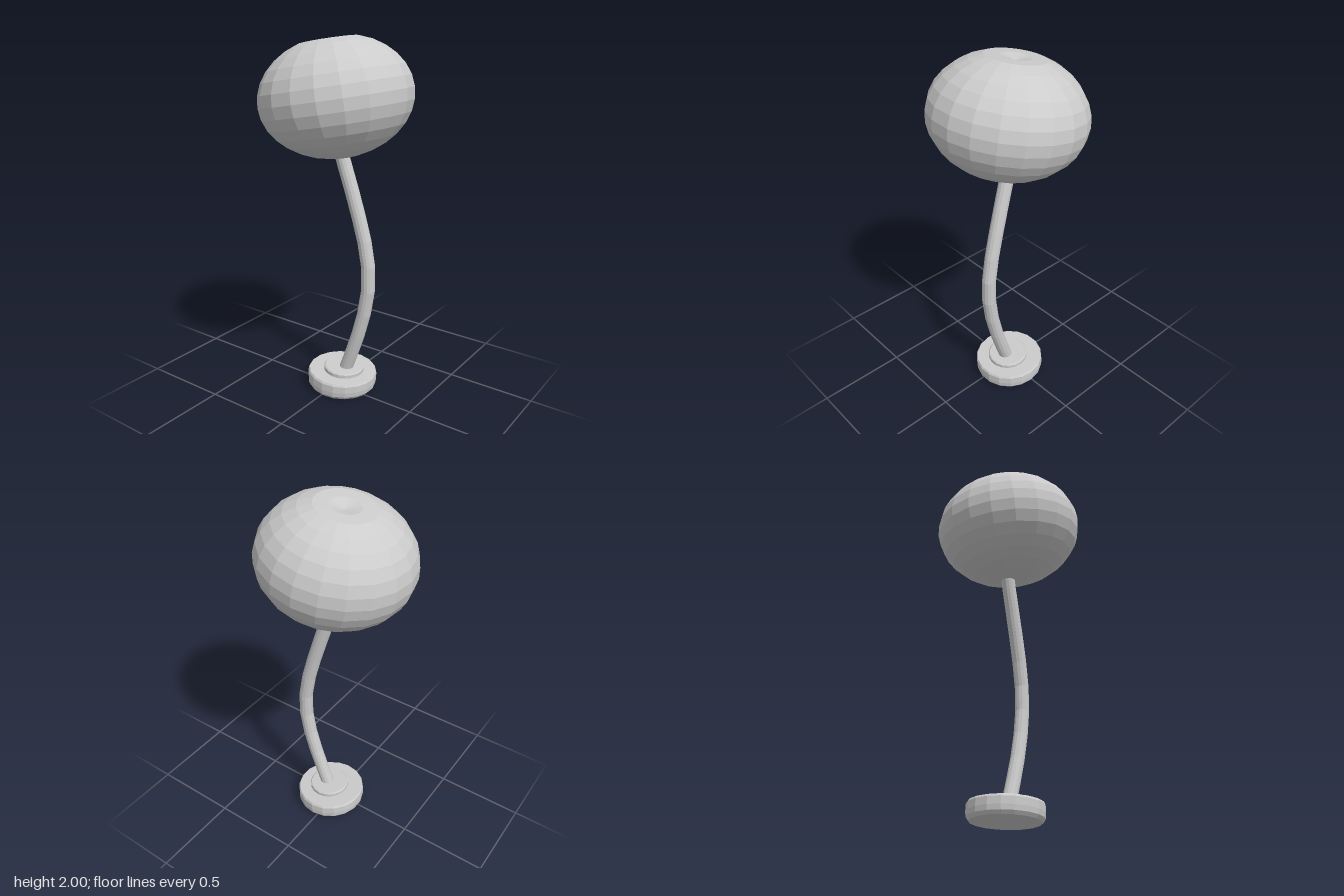
import * as THREE from 'three';

export function createModel() {
  const model = new THREE.Group();
  const material = new THREE.MeshStandardMaterial({ color: 0xcccccc, flatShading: true });
  const add = (name, geometry, parent = model) => {
    const mesh = new THREE.Mesh(geometry, material);
    mesh.name = name;
    parent.add(mesh);
    return mesh;
  };
  const lathe = (pairs, sides) =>
    new THREE.LatheGeometry(pairs.map(([r, y]) => new THREE.Vector2(r, y)), sides);

  // Slightly tilted foot: a bevelled disc with a thin collar on top
  const foot = new THREE.Group();
  foot.name = 'foot';
  foot.position.set(0.018, 0.01, -0.032);
  foot.rotation.z = -0.045;
  model.add(foot);
  add('footDisc', lathe([
    [0, 0], [0.185, 0], [0.198, 0.018], [0.201, 0.045],
    [0.2, 0.084], [0.193, 0.095], [0, 0.095],
  ], 18), foot);
  const collar = add('footCollar', lathe([
    [0, 0.08], [0.116, 0.08], [0.116, 0.114], [0.11, 0.12], [0, 0.12],
  ], 18), foot);
  collar.position.x = 0.01;

  // Bowed stem, running up into the cap
  const path = new THREE.CatmullRomCurve3([
    [0.035, 0.08, -0.03],
    [0.13, 0.36, -0.037],
    [0.182, 0.6, -0.044],
    [0.18, 0.8, -0.045],
    [0.125, 1.04, -0.038],
    [0.025, 1.37, -0.022],
    [0.0, 1.46, -0.015],
  ].map((p) => new THREE.Vector3(...p)));
  add('stem', new THREE.TubeGeometry(path, 10, 0.039, 14, false));

  // Squashed round cap, leaning to one side, with a shallow dimple at the crown
  const profile = [];
  const rings = 16;
  for (let i = 0; i <= rings; i++) {
    const a = (i / rings) * Math.PI;
    const r = 0.412 * Math.sin(a);
    const dimple = 0.045 * Math.exp(-((r / 0.085) ** 2)) * (a > Math.PI / 2 ? 1 : 0);
    profile.push([Math.max(r, 0), -0.317 * Math.cos(a) - dimple]);
  }
  const cap = add('cap', lathe(profile, 20));
  cap.position.set(0, 1.686, 0);
  cap.rotation.set(0, 0, 0.175);
  cap.rotateY(0.08);

  return model;
}
